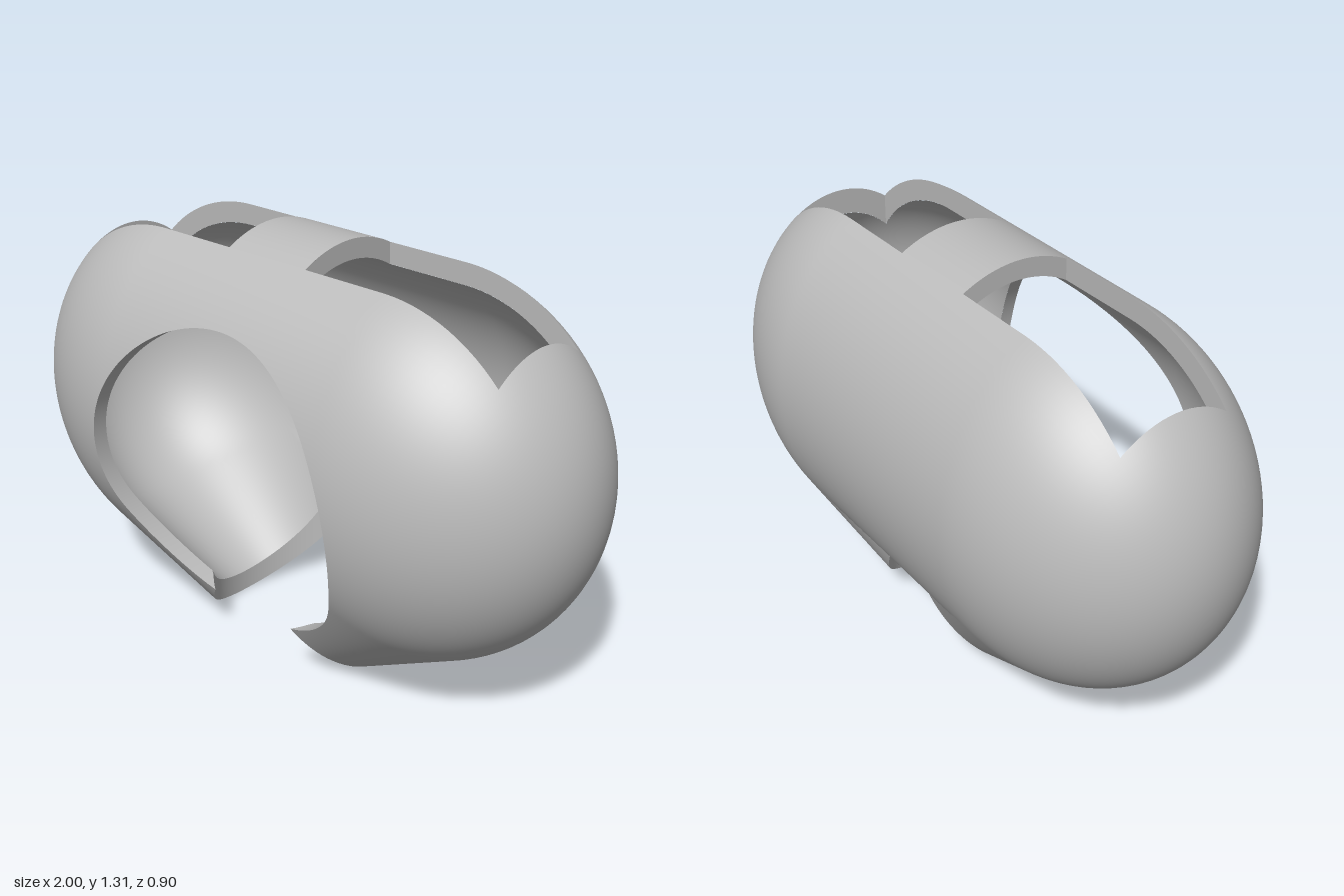
import * as THREE from 'three';

const R = 0.58, WALL = 0.06, ZS = 0.58 / 0.453;       // end-dome radius, wall thickness, depth squash
const CX = 0.42, CY = 0.73;                            // dome centres at x = +-CX
const FACE = { y: 0.62, r: 0.475 }, NECK = 0.305;      // front and bottom openings
const SLOT = { x0: 0.148, x1: 0.8, z: 0.175 };         // top slots
const APEX = new THREE.Vector2(-0.3, -0.336);          // point the lower cone of the +x side aims at

const axis = APEX.clone().sub(new THREE.Vector2(CX, CY));
const sinA = R / axis.length(), cosA = Math.sqrt(1 - sinA * sinA);
axis.normalize();

// dome that tapers into a cone toward the neck
function taper(x, y, z) {
  const dx = x - CX, dy = y - CY;
  const a = dx * axis.x + dy * axis.y;
  const b = Math.sqrt(Math.max(0, dx * dx + dy * dy + z * z - a * a));
  return a * cosA > b * sinA ? b * cosA + a * sinA : Math.hypot(a, b);
}

// body field: negative inside; t is the inward offset
function field(x, y, z, t) {
  const zz = z * ZS;
  const bar = Math.hypot(Math.max(0, Math.abs(x) - CX), y - CY, zz);
  return Math.min(bar, taper(x, y, zz), taper(-x, y, zz)) - R + t;
}

// distance along a ray to the surface
function cast(o, d, t) {
  let lo = 0, hi = 2;
  for (let i = 0; i < 30; i++) {
    const m = (lo + hi) / 2;
    if (field(o[0] + d[0] * m, o[1] + d[1] * m, o[2] + d[2] * m, t) < 0) lo = m; else hi = m;
  }
  return lo;
}

function gradient([x, y, z]) {
  const e = 0.002, f = (a, b, c) => field(a, b, c, 0);
  return new THREE.Vector3(f(x + e, y, z) - f(x - e, y, z), f(x, y + e, z) - f(x, y - e, z),
    f(x, y, z + e) - f(x, y, z - e)).normalize();
}

// part of a polygon where sign * g >= 0
function clip(poly, g, sign) {
  const out = [];
  poly.forEach((p, i) => {
    const q = poly[(i + 1) % poly.length];
    const gp = sign * g(p), gq = sign * g(q);
    if (gp >= 0) out.push(p);
    if ((gp > 0 && gq < 0) || (gp < 0 && gq > 0)) {
      const at = s => p.map((v, k) => v + (q[k] - v) * s);
      let lo = 0, hi = 1;
      for (let n = 0; n < 24; n++) {
        const m = (lo + hi) / 2;
        if (sign * g(at(m)) * gp > 0) lo = m; else hi = m;
      }
      out.push(at((lo + hi) / 2));
    }
  });
  return out.length > 2 ? out : [];
}

// remove the region where every function is negative
function subtract(polys, fns) {
  const out = [];
  for (const poly of polys) {
    if (fns.some(g => poly.every(p => g(p) >= 0))) { out.push(poly); continue; }
    let rest = poly;
    for (const g of fns) {
      if (!rest.length) break;
      const kept = clip(rest, g, 1);
      if (kept.length) out.push(kept);
      rest = clip(rest, g, -1);
    }
  }
  return out;
}

const slotCut = s => [p => SLOT.x0 - s * p[0], p => s * p[0] - SLOT.x1,
  p => -SLOT.z - p[2], p => p[2] - SLOT.z, p => CY - p[1]];
const CUTS = [
  [p => -p[2], p => Math.hypot(p[0], p[1] - FACE.y) - FACE.r],
  [p => p[1] - 0.6, p => Math.hypot(p[0], p[2]) - NECK],
  slotCut(1), slotCut(-1),
];

// mesh from polygons; triangles are turned to agree with the normals
function polyMesh(name, polys, normalAt, material) {
  const pos = [], nor = [];
  const u = new THREE.Vector3(), v = new THREE.Vector3();
  for (const poly of polys) {
    const n = poly.map(normalAt);
    for (let i = 1; i < poly.length - 1; i++) {
      const a = poly[0], b = poly[i], c = poly[i + 1];
      u.set(b[0] - a[0], b[1] - a[1], b[2] - a[2]);
      v.set(c[0] - a[0], c[1] - a[1], c[2] - a[2]);
      u.cross(v);
      if (u.length() < 1e-10) continue;
      const order = u.dot(n[0]) + u.dot(n[i]) + u.dot(n[i + 1]) > 0 ? [0, i, i + 1] : [0, i + 1, i];
      for (const k of order) { pos.push(...poly[k]); nor.push(n[k].x, n[k].y, n[k].z); }
    }
  }
  const geo = new THREE.BufferGeometry();
  geo.setAttribute('position', new THREE.Float32BufferAttribute(pos, 3));
  geo.setAttribute('normal', new THREE.Float32BufferAttribute(nor, 3));
  const mesh = new THREE.Mesh(geo, material);
  mesh.name = name;
  return mesh;
}

// outer or inner skin, swept around the x axis, with all openings removed
function skin(name, t, material) {
  const NU = 160, NV = 96, O = [0, 0.6, 0], grid = [];
  for (let j = 0; j <= NV; j++) {
    const b = Math.PI * j / NV, row = [];
    for (let i = 0; i <= NU; i++) {
      const a = 2 * Math.PI * i / NU;
      const d = [Math.cos(b), Math.sin(b) * Math.cos(a), Math.sin(b) * Math.sin(a)];
      const s = cast(O, d, t);
      row.push(O.map((v, k) => v + d[k] * s));
    }
    grid.push(row);
  }
  let polys = [];
  for (let j = 0; j < NV; j++) for (let i = 0; i < NU; i++) {
    const [a, b, c, d] = [grid[j][i], grid[j][i + 1], grid[j + 1][i + 1], grid[j + 1][i]];
    polys.push([a, b, c], [a, c, d]);
  }
  for (const cut of CUTS) polys = subtract(polys, cut);
  const side = t ? -1 : 1;
  return polyMesh(name, polys, p => gradient(p).multiplyScalar(side), material);
}

// wall of an opening: edge(s) gives the outer and inner points at s in 0..1
function rim(name, n, edge, normalAt, material) {
  const polys = [];
  for (let i = 0; i < n; i++) {
    const [a, b] = edge(i / n), [c, d] = edge((i + 1) / n);
    polys.push([a, b, d, c]);
  }
  return polyMesh(name, polys, normalAt, material);
}

export function createModel() {
  const group = new THREE.Group();
  const grey = new THREE.MeshStandardMaterial({ color: 0xbbbbbb });
  grey.name = 'plain grey';

  group.add(skin('outerShell', 0, grey), skin('innerShell', WALL, grey));

  // round front opening
  group.add(rim('faceOpeningRim', 180, s => {
    const a = s * 2 * Math.PI, x = FACE.r * Math.cos(a), y = FACE.y + FACE.r * Math.sin(a);
    const zMin = Math.sqrt(Math.max(0, NECK * NECK - x * x));
    const low = y < FACE.y ? zMin : 0;
    return [0, WALL].map(t => [x, y, Math.max(low, cast([x, y, 0], [0, 0, 1], t))]);
  }, p => new THREE.Vector3(-p[0], FACE.y - p[1], 0).normalize(), grey));

  // neck opening, trimmed where it runs into the front opening
  group.add(rim('neckOpeningRim', 180, s => {
    const a = s * 2 * Math.PI, x = NECK * Math.cos(a), z = NECK * Math.sin(a);
    const top = z > 0 ? FACE.y - Math.sqrt(FACE.r ** 2 - x * x) : 1;
    return [0, WALL].map(t => [x, Math.min(top, 0.6 - cast([x, 0.6, z], [0, -1, 0], t)), z]);
  }, p => new THREE.Vector3(-p[0], 0, -p[2]).normalize(), grey));

  // top slots
  const up = (x, z) => [0, WALL].map(t => [x, CY + cast([x, CY, z], [0, 1, 0], t), z]);
  for (const m of [1, -1]) {
    for (const e of [1, -1]) {
      group.add(rim('slotLongWall', 40,
        s => up(m * (SLOT.x0 + (SLOT.x1 - SLOT.x0) * s), e * SLOT.z),
        () => new THREE.Vector3(0, 0, -e), grey));
      group.add(rim('slotEndWall', 20,
        s => up(m * (e > 0 ? SLOT.x1 : SLOT.x0), SLOT.z * (2 * s - 1)),
        () => new THREE.Vector3(-m * e, 0, 0), grey));
    }
  }
  return group;
}
